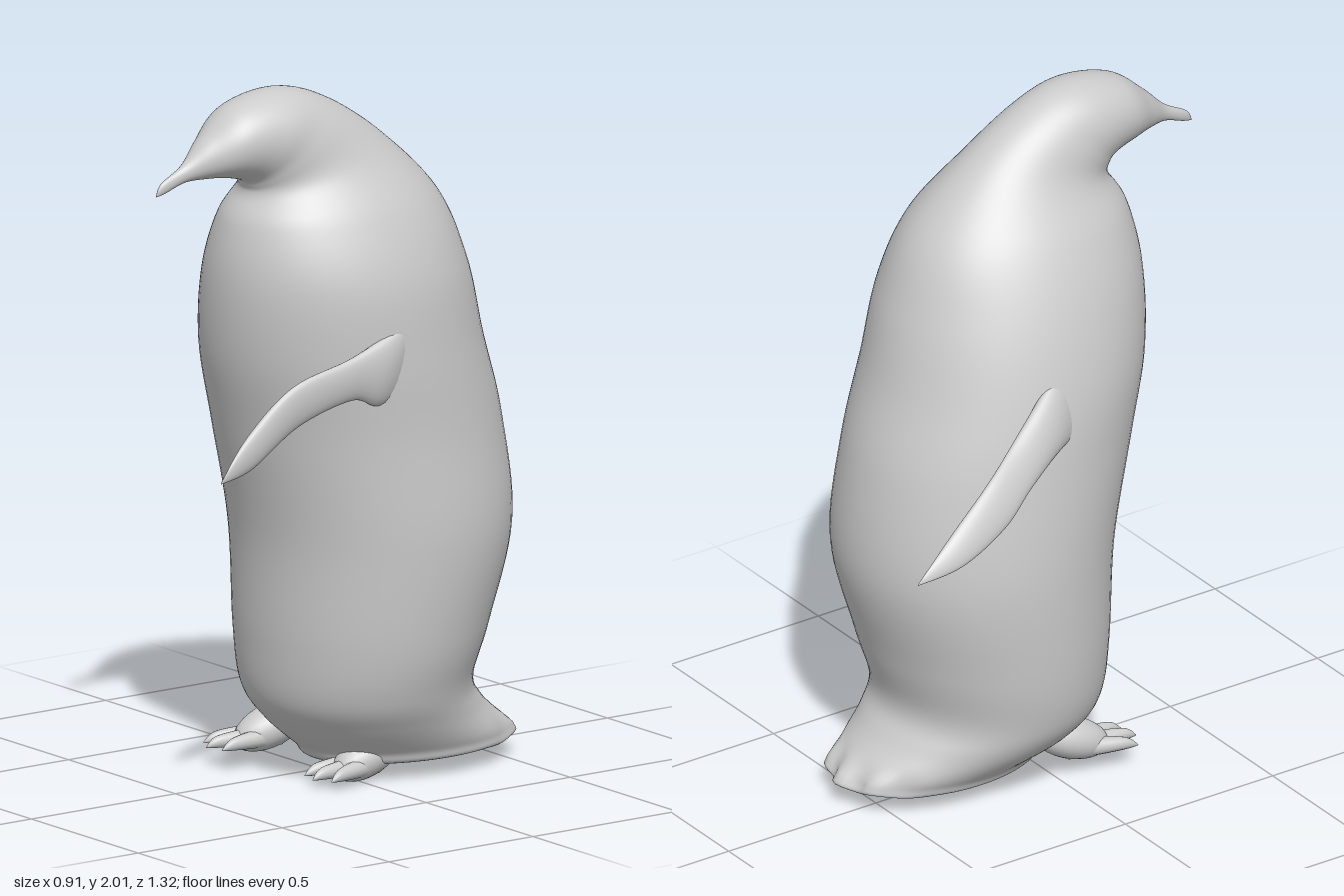
import * as THREE from 'three';

const material = new THREE.MeshStandardMaterial({ color: 0xcccccc, side: THREE.DoubleSide });

// Smooth interpolation between rows of numbers
function smoothRows(rows, steps) {
  const out = [];
  const row = i => rows[Math.min(Math.max(i, 0), rows.length - 1)];
  for (let i = 0; i < rows.length - 1; i++) {
    for (let s = 0; s < steps; s++) {
      const t = s / steps;
      out.push(row(i).map((p1, k) => {
        const p0 = row(i - 1)[k], p2 = row(i + 1)[k], p3 = row(i + 2)[k];
        return p1 + 0.5 * t * (p2 - p0 + t * (2 * p0 - 5 * p1 + 4 * p2 - p3 + t * (3 * (p1 - p2) + p3 - p0)));
      }));
    }
  }
  out.push(rows[rows.length - 1]);
  return out;
}

// Skin of elliptical rings; each row is [ax, ay, az, bx, by, bz, halfWidth]
// where a and b are opposite ends of the ring and n is its width direction
function loft(name, rows, n, steps, sides) {
  const pos = [], index = [];
  const rings = smoothRows(rows, steps);
  rings.forEach(([ax, ay, az, bx, by, bz, w], i) => {
    for (let j = 0; j < sides; j++) {
      const t = (j / sides) * Math.PI * 2, c = Math.cos(t) / 2, s = Math.sin(t) * Math.max(w, 0);
      pos.push((ax + bx) / 2 + c * (ax - bx) + s * n[0],
        (ay + by) / 2 + c * (ay - by) + s * n[1],
        (az + bz) / 2 + c * (az - bz) + s * n[2]);
      if (i < rings.length - 1) {
        const p = i * sides + j, q = i * sides + (j + 1) % sides;
        index.push(p, q, p + sides, q, q + sides, p + sides);
      }
    }
  });
  const g = new THREE.BufferGeometry();
  g.setAttribute('position', new THREE.Float32BufferAttribute(pos, 3));
  g.setIndex(index);
  g.computeVertexNormals();
  const mesh = new THREE.Mesh(g, material);
  mesh.name = name;
  return mesh;
}

// Tail, body, neck, head and beak: [centre x, front z, front y, back z, back y, half width]
const bodyRings = [
  [0.06, -0.25, 0.04, -0.25, 0.04, 0],
  [0.06, 0.03, 0.03, -0.55, 0.035, 0.2],
  [0.055, 0.09, 0.07, -0.575, 0.07, 0.24],
  [0.038, 0.16, 0.14, -0.47, 0.17, 0.3],
  [0.036, 0.215, 0.23, -0.42, 0.26, 0.34],
  [0.046, 0.24, 0.4, -0.46, 0.42, 0.375],
  [0.058, 0.265, 0.7, -0.53, 0.7, 0.397],
  [0.062, 0.335, 1.0, -0.5, 1.0, 0.383],
  [0.075, 0.393, 1.24, -0.43, 1.24, 0.37],
  [0.097, 0.41, 1.46, -0.37, 1.46, 0.333],
  [0.107, 0.385, 1.62, -0.28, 1.66, 0.26],
  [0.112, 0.34, 1.7, -0.1, 1.838, 0.168],
  [0.112, 0.34, 1.73, 0.08, 1.955, 0.14],
  [0.113, 0.36, 1.75, 0.23, 1.998, 0.129],
  [0.115, 0.43, 1.767, 0.385, 1.972, 0.103],
  [0.116, 0.5, 1.772, 0.485, 1.895, 0.055],
  [0.117, 0.56, 1.77, 0.56, 1.822, 0.02],
  [0.117, 0.625, 1.748, 0.635, 1.778, 0.009],
  [0.117, 0.655, 1.742, 0.655, 1.742, 0],
];

// Flippers: [upper edge xyz, lower edge xyz, half thickness]
const leftFlipper = [
  [0.36, 1.44, -0.1, 0.36, 1.16, -0.1, 0.02],
  [0.42, 1.35, 0.03, 0.41, 1.12, 0.09, 0.033],
  [0.43, 1.278, 0.2, 0.42, 1.152, 0.2, 0.022],
  [0.42, 1.22, 0.4, 0.41, 1.1, 0.38, 0.02],
  [0.412, 1.1, 0.55, 0.408, 1.0, 0.54, 0.018],
  [0.43, 0.985, 0.66, 0.43, 0.98, 0.66, 0],
];
const rightFlipper = [
  [-0.19, 1.38, 0.03, -0.23, 1.1, 0.06, 0.02],
  [-0.265, 1.29, -0.11, -0.31, 1.12, -0.08, 0.033],
  [-0.325, 1.19, -0.26, -0.385, 1.07, -0.24, 0.022],
  [-0.375, 1.12, -0.38, -0.43, 1.0, -0.36, 0.02],
  [-0.413, 1.02, -0.53, -0.453, 0.937, -0.52, 0.017],
  [-0.437, 0.917, -0.66, -0.437, 0.912, -0.66, 0],
];

// Foot with an ankle and three tapering toes
function makeFoot(name, x, y, z, splay) {
  const foot = new THREE.Group();
  foot.name = name;
  const ankle = new THREE.Mesh(new THREE.SphereGeometry(1, 24, 16), material);
  ankle.name = 'ankle';
  ankle.scale.set(0.066, 0.06, 0.12);
  ankle.position.set(0, 0.055, -0.1);
  ankle.rotation.x = 0.35;
  foot.add(ankle);
  for (const k of [-1, 0, 1]) {
    const tip = k === 0 ? 0.105 : 0.085;
    // [forward z, sideways x, top y, bottom y, half width] along the toe
    const toe = [
      [-0.12, 0.02, 0.07, 0, 0.026],
      [-0.03, 0.035, 0.055, 0.003, 0.026],
      [tip - 0.035, 0.05, 0.042, 0.008, 0.015],
      [tip, 0.055, 0.014, 0.012, 0],
    ];
    foot.add(loft('toe', toe.map(([f, s, top, low, w]) => [k * s, top, f, k * s, low, f, w]), [-1, 0, 0], 5, 14));
  }
  foot.position.set(x, y, z);
  foot.rotation.y = splay;
  return foot;
}

export function createModel() {
  const model = new THREE.Group();
  model.name = 'penguin';

  const body = loft('body', bodyRings.map(([x, fz, fy, bz, by, w]) => [x, fy, fz, x, by, bz, w]), [1, 0, 0], 8, 72);
  // Scalloped feather ends along the tail edge
  const p = body.geometry.attributes.position;
  for (let i = 0; i < p.count; i++) {
    const x = p.getX(i), y = p.getY(i), z = p.getZ(i);
    if (y < 0.12 && z < -0.35) {
      const fade = Math.min(1, (-0.35 - z) / 0.15) * Math.min(1, (0.12 - y) / 0.05);
      const wave = fade * Math.cos((x - 0.06) * 55);
      p.setZ(i, z - 0.012 * wave);
      p.setY(i, y + 0.006 * wave);
    }
  }
  body.geometry.computeVertexNormals();
  model.add(body);

  model.add(loft('leftFlipper', leftFlipper, [-1, 0, 0], 8, 28));
  model.add(loft('rightFlipper', rightFlipper, [0.88, -0.4, -0.25], 8, 28));
  model.add(makeFoot('leftFoot', 0.18, 0, 0.06, 0.1));
  model.add(makeFoot('rightFoot', -0.165, 0.035, 0.155, -0.15));
  return model;
}
